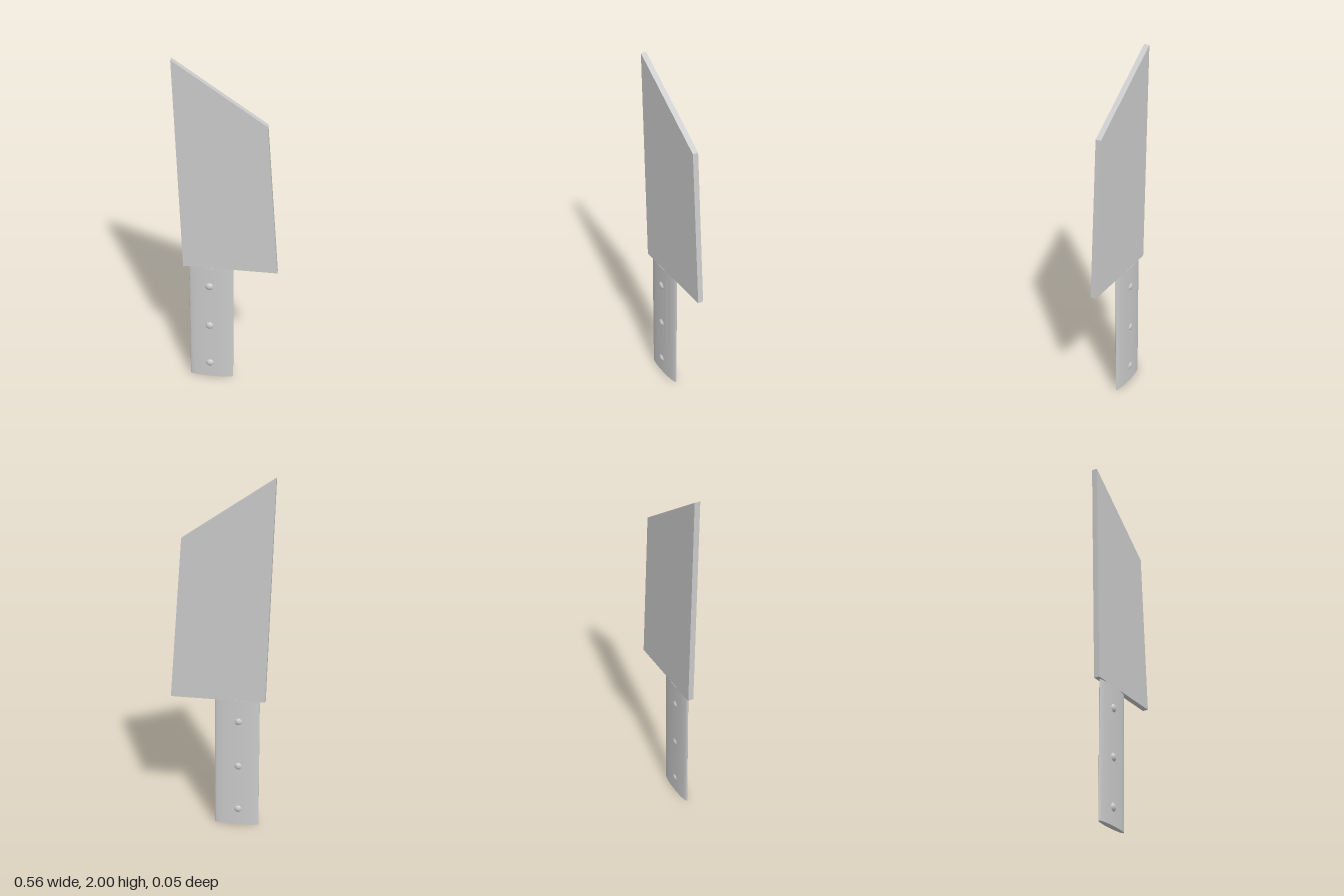
import * as THREE from 'three';

export function createModel() {
  const group = new THREE.Group();
  const material = new THREE.MeshStandardMaterial({ color: 0xcccccc });
  const add = (name, geometry, x, y, z) => {
    const mesh = new THREE.Mesh(geometry, material);
    mesh.name = name;
    mesh.position.set(x, y, z);
    group.add(mesh);
    return mesh;
  };

  // Flat blade with a slanted tip
  const outline = new THREE.Shape([
    new THREE.Vector2(-0.24, 0.76),
    new THREE.Vector2(0.28, 0.76),
    new THREE.Vector2(0.212, 1.66),
    new THREE.Vector2(-0.282, 2),
  ]);
  add('blade', new THREE.ExtrudeGeometry(outline, { depth: 0.031, bevelEnabled: false }), 0, 0, -0.018);

  // Handle: a flattened cylinder
  const handle = new THREE.CylinderGeometry(1, 1, 0.76, 48);
  handle.scale(0.124, 1, 0.0175);
  add('handle', handle, -0.086, 0.38, -0.0025);

  // Rivets passing through the handle
  for (const y of [0.098, 0.365, 0.635]) {
    const rivet = new THREE.SphereGeometry(0.028, 32, 20);
    rivet.scale(1, 1, 0.96);
    add('rivet', rivet, -0.095, y, -0.001);
  }
  return group;
}
